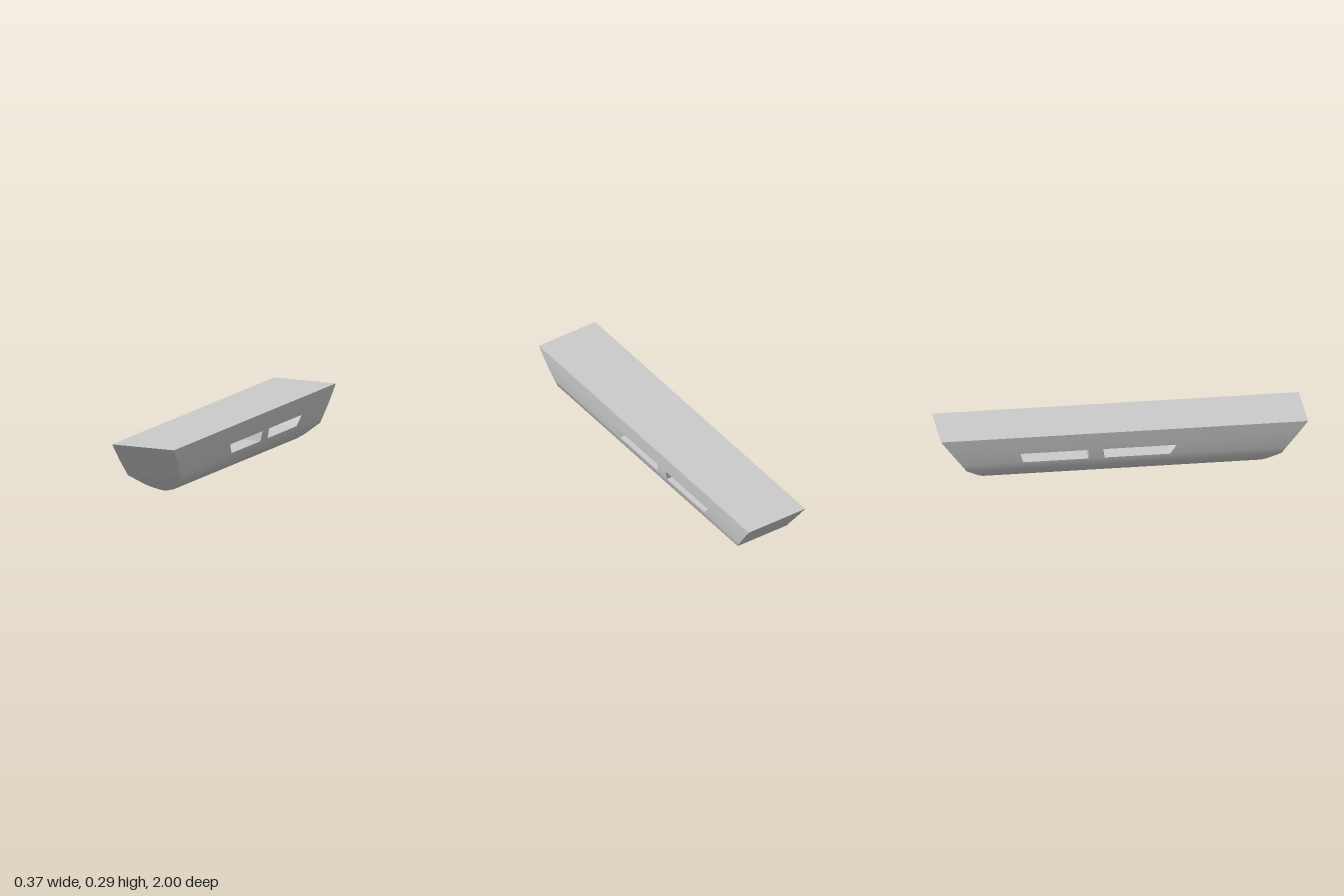
import * as THREE from 'three';
import { toCreasedNormals } from 'three/addons/utils/BufferGeometryUtils.js';

// Hull section from keel to deck: [half width, height, half length]
const ROWS = [
  [0, 0, 0.732], [0.035, 0.008, 0.742], [0.07, 0.02, 0.758], [0.1, 0.04, 0.786],
  [0.16, 0.095, 0.858], [0.167, 0.133, 0.885], [0.176, 0.188, 0.926],
  [0.181, 0.24, 0.965], [0.185, 0.288, 1],
];
const SILL = 5; // row of the window sill; the window heads are on the next row

// Window corners along z, at the sill and at the head
const SILL_Z = [-0.55, -0.195, -0.107, 0.25];
const HEAD_Z = [-0.6, -0.195, -0.115, 0.285];

// All points of one row on one side
function rowPoints(i, side) {
  const [x, y, len] = ROWS[i];
  const zs = [-len, ...(i <= SILL ? SILL_Z : HEAD_Z), len];
  return zs.map((z) => [side * x, y, z]);
}

// Collects quads, corners anticlockwise seen from outside
function surface(name, crease, build) {
  const pos = [];
  const tri = (a, b, c) => pos.push(...a, ...b, ...c);
  build((a, b, c, d, flip = false) => {
    if (flip) [b, d] = [d, b];
    tri(a, b, c);
    tri(a, c, d);
  });
  const geo = new THREE.BufferGeometry();
  geo.setAttribute('position', new THREE.Float32BufferAttribute(pos, 3));
  const mesh = new THREE.Mesh(
    toCreasedNormals(geo, crease),
    new THREE.MeshStandardMaterial({ color: 0xcccccc, side: THREE.DoubleSide })
  );
  mesh.name = name;
  return mesh;
}

export function createModel() {
  const group = new THREE.Group();
  group.name = 'hull';

  // Rounded bottom and flared sides, leaving the windows open
  group.add(surface('hullSkin', 0.9, (quad) => {
    for (const side of [1, -1]) {
      for (let i = 0; i < ROWS.length - 1; i++) {
        const lo = rowPoints(i, side), hi = rowPoints(i + 1, side);
        for (let k = 0; k < lo.length - 1; k++) {
          if (i === SILL && k % 2 === 1) continue;
          quad(lo[k], hi[k], hi[k + 1], lo[k + 1], side < 0);
        }
      }
    }
  }));

  // Raked, gently curved bow and stern
  for (const end of [1, -1]) {
    group.add(surface(end > 0 ? 'bow' : 'stern', 0.6, (quad) => {
      for (let i = 0; i < ROWS.length - 1; i++) {
        const [x0, y0, z0] = ROWS[i], [x1, y1, z1] = ROWS[i + 1];
        quad([-x0, y0, end * z0], [x0, y0, end * z0],
          [x1, y1, end * z1], [-x1, y1, end * z1], end < 0);
      }
    }));
  }

  // Flat deck
  group.add(surface('deck', 0.1, (quad) => {
    const [x, y, z] = ROWS[ROWS.length - 1];
    quad([-x, y, z], [x, y, z], [x, y, -z], [-x, y, -z]);
  }));

  // Window openings running right through the hull
  for (const k of [1, 3]) {
    group.add(surface(k === 1 ? 'rearWindowOpening' : 'frontWindowOpening', 0.1, (quad) => {
      const ring = (side) => {
        const lo = rowPoints(SILL, side), hi = rowPoints(SILL + 1, side);
        return [lo[k], lo[k + 1], hi[k + 1], hi[k]];
      };
      const l = ring(1), r = ring(-1);
      for (let j = 0; j < 4; j++) {
        const n = (j + 1) % 4;
        quad(r[j], r[n], l[n], l[j]);
      }
    }));
  }

  return group;
}
